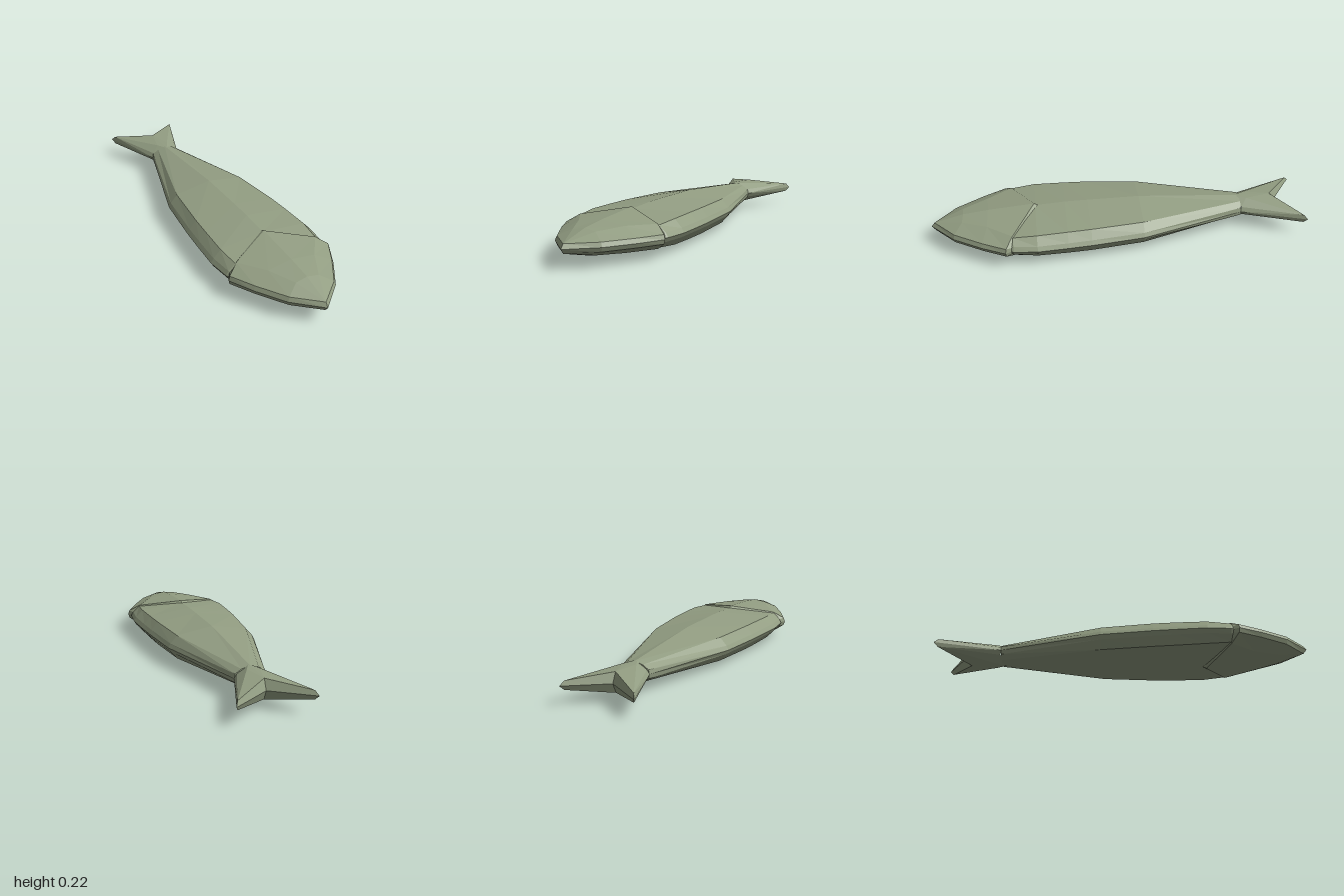
import * as THREE from 'three';

const scales = new THREE.MeshStandardMaterial({ color: 0x929d82, flatShading: true });
scales.name = 'olive green';

function meshFromTriangles(points, name) {
  const geometry = new THREE.BufferGeometry();
  geometry.setAttribute('position', new THREE.Float32BufferAttribute(points.flat(), 3));
  geometry.computeVertexNormals();
  const mesh = new THREE.Mesh(geometry, scales);
  mesh.name = name;
  return mesh;
}

// Each section is a quarter outline [edge, rim, shoulder, ridge] of [x, y, z], mirrored into a ring
function ring([edge, rim, shoulder, ridge]) {
  const flip = (p, sx, sy) => [p[0] * sx, p[1] * sy, p[2]];
  return [
    edge, rim, shoulder, ridge,
    flip(shoulder, -1, 1), flip(rim, -1, 1), flip(edge, -1, 1), flip(rim, -1, -1),
    flip(shoulder, -1, -1), flip(ridge, 1, -1), flip(shoulder, 1, -1), flip(rim, 1, -1),
  ];
}

function loft(sections, name) {
  const rings = sections.map(ring);
  const tris = [];
  for (let i = 0; i < rings.length - 1; i++) {
    for (let j = 0; j < 12; j++) {
      const k = (j + 1) % 12;
      const a = rings[i][j], b = rings[i][k], c = rings[i + 1][k], d = rings[i + 1][j];
      tris.push(a, b, c, a, c, d);
    }
  }
  return meshFromTriangles(tris, name);
}

export function createModel() {
  const model = new THREE.Group();
  model.name = 'fish';
  const fish = new THREE.Group();
  fish.name = 'lyingFish';

  // Body: [position along the fish, half width, half thickness, shoulder width, shoulder height]
  const bodySections = [
    [-0.66, 0.002, 0.002, 0.5, 0.5],
    [-0.65, 0.09, 0.062, 0.55, 0.78],
    [-0.04, 0.272, 0.108, 0.8, 0.66],
    [0.265, 0.306, 0.108, 0.82, 0.68],
    [0.4, 0.316, 0.107, 0.82, 0.68],
    [0.575, 0.326, 0.097, 0.82, 0.72],
    [0.71, 0.311, 0.085, 0.82, 0.7],
    [0.76, 0.28, 0.072, 0.82, 0.6],
  ].map(([z, w, h, sw, sh]) => [
    [w, 0, z], [w * 0.95, Math.min(0.025, h * 0.4), z], [w * sw, h * sh, z], [0, h, z],
  ]);
  fish.add(loft(bodySections, 'body'));

  // Head with a V-shaped raised gill edge
  fish.add(loft([
    [[0.30, 0, 0.72], [0.295, 0.02, 0.72], [0.238, 0.052, 0.69], [0, 0.092, 0.55]],
    [[0.32, 0, 0.755], [0.312, 0.025, 0.752], [0.25, 0.066, 0.712], [0, 0.109, 0.58]],
    [[0.25, 0, 0.89], [0.24, 0.025, 0.885], [0.145, 0.07, 0.855], [0, 0.088, 0.85]],
    [[0.147, 0, 1.05], [0.137, 0.025, 1.045], [0.07, 0.06, 1.0], [0, 0.07, 0.995]],
    [[0, 0, 1.184], [0, 0.025, 1.165], [0, 0.025, 1.165], [0, 0.025, 1.165]],
  ], 'head'));

  // Forked tail fin, one quarter mirrored four ways
  const O = [0.09, 0, -0.645], Or = [0.078, 0.025, -0.655];
  const T = [0.222, 0, -1.026], Tr = [0.208, 0.025, -1.003];
  const N = [0, 0, -0.869], Nr = [0, 0.058, -0.84];
  const C = [0, 0.062, -0.62], K = [0.035, 0.06, -0.69];
  const quarter = [
    [O, T, Tr], [O, Tr, Or], [Or, Tr, K], [Or, K, C],
    [C, K, Nr], [K, Tr, Nr], [Tr, T, N], [Tr, N, Nr],
  ];
  const tail = [];
  for (const sx of [1, -1]) for (const sy of [1, -1]) {
    for (const face of quarter) {
      const p = face.map(([x, y, z]) => [x * sx, y * sy, z]);
      tail.push(...(sx * sy > 0 ? p : p.reverse()));
    }
  }
  fish.add(meshFromTriangles(tail, 'tailFin'));

  // Lay the fish flat, turned across the ground
  const angle = THREE.MathUtils.degToRad(32);
  fish.rotation.y = angle;
  fish.position.set(0.025 * Math.cos(angle), 0.109, -0.025 * Math.sin(angle));
  model.add(fish);
  return model;
}
